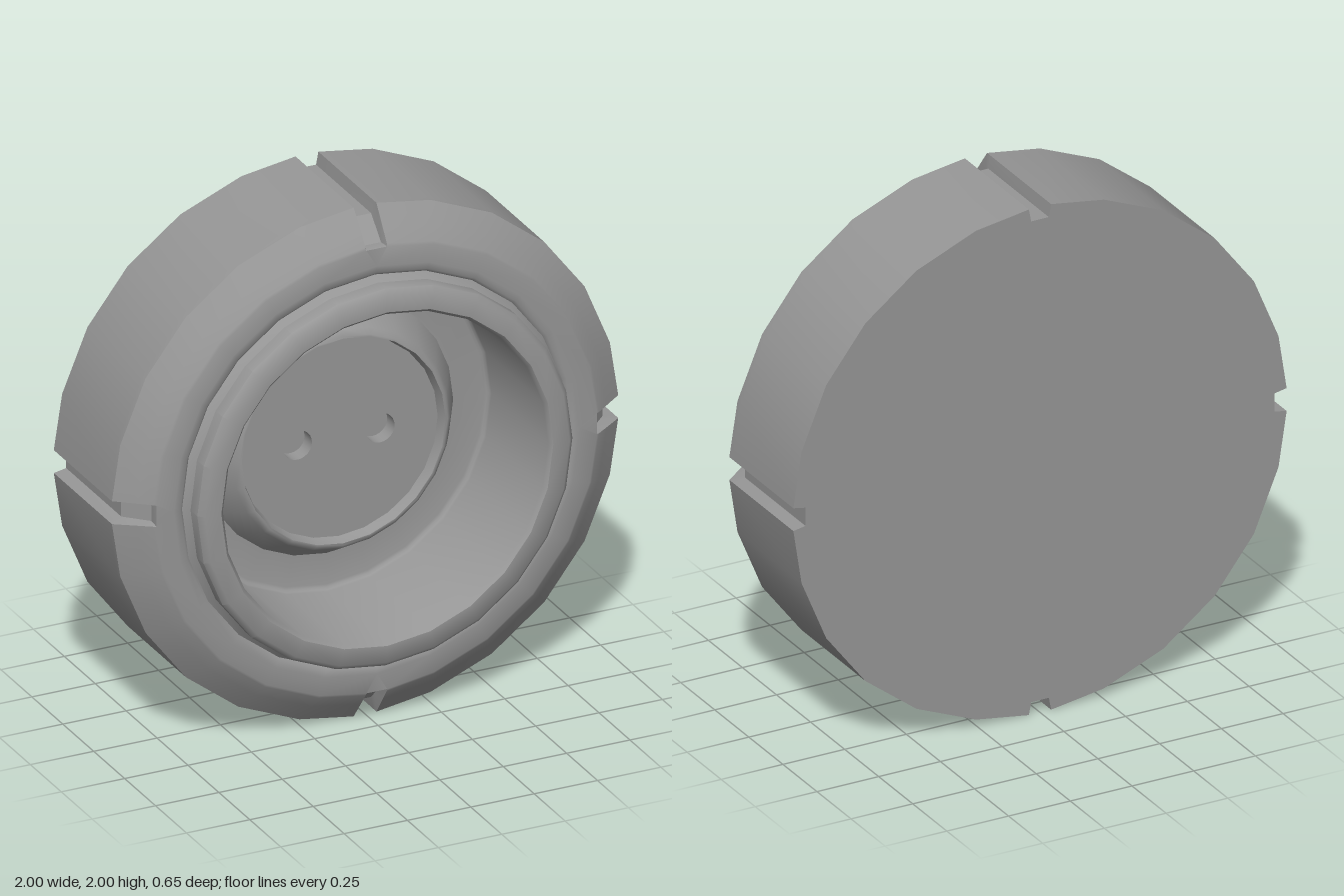
import * as THREE from 'three';
import { toCreasedNormals } from 'three/addons/utils/BufferGeometryUtils.js';

const SIDES = 24;
const material = new THREE.MeshStandardMaterial({ color: 0x969696 });
const openMaterial = new THREE.MeshStandardMaterial({ color: 0x969696, side: THREE.DoubleSide });

function part(name, geometry, mat = material) {
  const mesh = new THREE.Mesh(geometry, mat);
  mesh.name = name;
  return mesh;
}

// Outline of the disc with a notch on each of the four axes
function notchedOutline(radius, floor, halfWidth, floorHalfWidth) {
  const pts = [];
  const x = Math.sqrt(radius * radius - halfWidth * halfWidth);
  for (let q = 0; q < 4; q++) {
    const quarter = [[x, -halfWidth], [floor, -floorHalfWidth], [floor, floorHalfWidth], [x, halfWidth]];
    for (let i = 1; i < SIDES / 4; i++) {
      const a = (i * 2 * Math.PI) / SIDES;
      quarter.push([radius * Math.cos(a), radius * Math.sin(a)]);
    }
    const c = Math.round(Math.cos(q * Math.PI / 2)), s = Math.round(Math.sin(q * Math.PI / 2));
    for (const [u, v] of quarter) pts.push([u * c - v * s, u * s + v * c]);
  }
  return pts;
}

// Disc wall, bevel, softened front rim and flat back, skinned through cross-sections
function bodyGeometry() {
  // z, radius, notch floor radius, notch half width at the top and at the floor
  const sections = [
    [-0.325, 1, 0.95, 0.045, 0.036],
    [0.12, 1, 0.95, 0.045, 0.036],
    [0.145, 1, 0.925, 0.045, 0.036],
    [0.2, 0.927, 0.87, 0.043, 0.036],
    [0.235, 0.88, 0.87, 0.042, 0.04],
    [0.24, 0.87, 0.869, 0.042, 0.04],
    [0.24, 0.8, 0.8, 0, 0],
  ];
  const positions = [], index = [];
  let n = 0;
  for (const [z, ...dims] of sections) {
    const outline = notchedOutline(...dims);
    n = outline.length;
    for (const [x, y] of outline) positions.push(x, y, z);
  }
  for (let k = 0; k < sections.length - 1; k++) {
    for (let j = 0; j < n; j++) {
      const a = k * n + j, b = k * n + (j + 1) % n;
      index.push(a, b, b + n, a, b + n, a + n);
    }
  }
  const centre = positions.length / 3;
  positions.push(0, 0, -0.325);
  for (let j = 0; j < n; j++) index.push(centre, (j + 1) % n, j);
  const g = new THREE.BufferGeometry();
  g.setAttribute('position', new THREE.Float32BufferAttribute(positions, 3));
  g.setIndex(index);
  return toCreasedNormals(g, 0.5);
}

// Turned surface from [radius, z] points, axis along z
function turned(profile) {
  const g = new THREE.LatheGeometry(profile.map(([r, z]) => new THREE.Vector2(r, z)), SIDES);
  g.rotateX(Math.PI / 2);
  return toCreasedNormals(g, 0.8);
}

export function createModel() {
  const model = new THREE.Group();
  const unit = new THREE.Group();
  unit.name = 'socketUnit';
  unit.position.y = 1;
  model.add(unit);

  unit.add(part('notchedBody', bodyGeometry()));

  // Front rim, shallow groove and raised collar
  unit.add(part('collar', turned([
    [0.8, 0.24], [0.775, 0.24], [0.763, 0.228], [0.74, 0.25], [0.74, 0.305], [0.72, 0.325],
    [0.655, 0.325],
  ])));

  // Cup wall with a rounded corner into the floor
  unit.add(part('cup', turned([
    [0.655, 0.325], [0.642, 0.31], [0.642, -0.147], [0.639, -0.157], [0.632, -0.164],
    [0.622, -0.167], [0.5, -0.167],
  ])));

  // Tapered centre boss with a recessed lip
  unit.add(part('centreBoss', turned([
    [0.5, -0.167], [0.43, -0.047], [0.41, -0.027], [0.402, -0.027], [0.39, -0.067],
  ])));

  // Boss face with two pin holes
  const holeX = 0.163, holeR = 0.057, faceZ = -0.067, holeDepth = 0.06;
  const face = new THREE.Shape().absarc(0, 0, 0.39, 0, Math.PI * 2);
  for (const side of [-1, 1]) {
    face.holes.push(new THREE.Path().absarc(side * holeX, 0, holeR, 0, Math.PI * 2, true));

    const wall = new THREE.CylinderGeometry(holeR, holeR, holeDepth, SIDES, 1, true).rotateX(Math.PI / 2);
    const pocket = new THREE.Group();
    pocket.name = side > 0 ? 'leftPinHole' : 'rightPinHole';
    pocket.position.set(side * holeX, 0, faceZ - holeDepth / 2);
    const bottom = part('pinHoleFloor', new THREE.CircleGeometry(holeR, SIDES));
    bottom.position.z = -holeDepth / 2;
    pocket.add(part('pinHoleWall', wall, openMaterial), bottom);
    unit.add(pocket);
  }
  const faceMesh = part('bossFace', new THREE.ShapeGeometry(face, SIDES / 2));
  faceMesh.position.z = faceZ;
  unit.add(faceMesh);

  return model;
}
